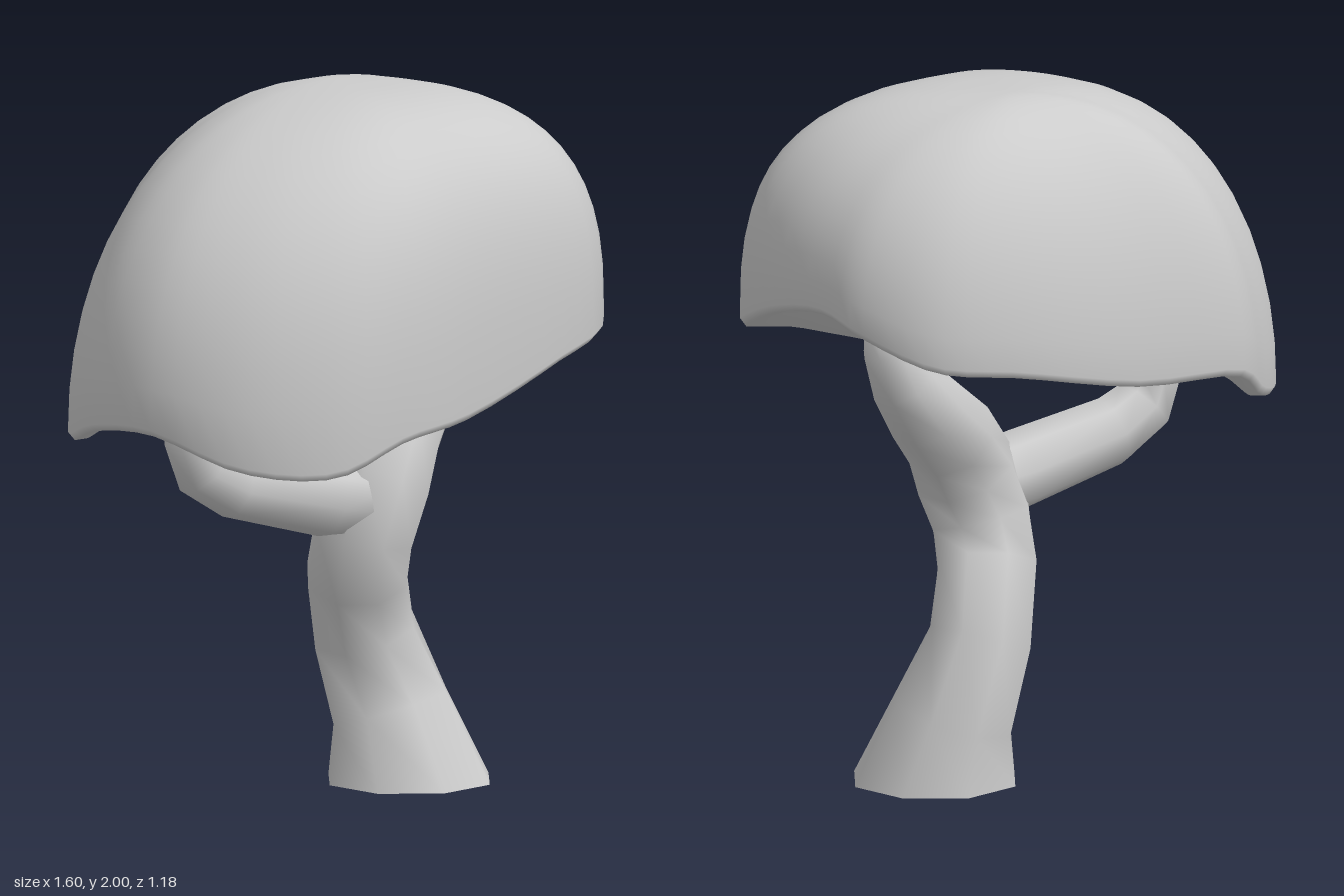
import * as THREE from 'three';
import { mergeVertices } from 'three/addons/utils/BufferGeometryUtils.js';

const V = (x, y, z) => new THREE.Vector3(x, y, z);

// Smooth skin over a list of closed rings (arrays of Vector3 of equal length)
function skin(name, rings) {
  const n = rings[0].length;
  const index = [];
  for (let i = 0; i < rings.length - 1; i++) {
    for (let j = 0; j < n; j++) {
      const k = (j + 1) % n;
      const a = i * n + j, b = i * n + k, c = (i + 1) * n + k, d = (i + 1) * n + j;
      index.push(a, b, d, b, c, d);
    }
  }
  let geometry = new THREE.BufferGeometry().setFromPoints(rings.flat());
  geometry.setIndex(index);
  geometry = mergeVertices(geometry, 1e-4);
  geometry.computeVertexNormals();
  const material = new THREE.MeshStandardMaterial({ color: 0xcccccc, side: THREE.DoubleSide });
  const mesh = new THREE.Mesh(geometry, material);
  mesh.name = name;
  return mesh;
}

// Bent limb: stations are [x, y, z, radius] from base to tip
function limb(name, stations, sides = 8) {
  const points = stations.map(([x, y, z]) => V(x, y, z));
  const up = V(0, 1, 0);
  const rings = stations.map(([, , , r], i) => {
    const prev = points[Math.max(i - 1, 0)];
    const next = points[Math.min(i + 1, points.length - 1)];
    const tangent = i === 0 && name === 'trunk' ? up : next.clone().sub(prev).normalize();
    const turn = new THREE.Quaternion().setFromUnitVectors(up, tangent);
    return Array.from({ length: sides }, (_, j) => {
      const t = ((j + 0.5) / sides) * Math.PI * 2;
      const k = r / Math.cos(Math.PI / sides);
      return V(Math.cos(t) * k, 0, Math.sin(t) * k).applyQuaternion(turn).add(points[i]);
    });
  });
  // closed tip
  rings.push(Array.from({ length: sides }, () => points[points.length - 1].clone()));
  return skin(name, rings.reverse());
}

// Domed canopy with a wavy rim and a hollow underside
function canopy() {
  const rim = new THREE.CatmullRomCurve3([
    V(0.79, 1.46, 0.04), V(0.75, 1.42, 0.27), V(0.64, 1.32, 0.5), V(0.38, 1.26, 0.575),
    V(0, 1.15, 0.585), V(-0.25, 1.12, 0.585), V(-0.48, 1.04, 0.53), V(-0.69, 1.06, 0.36),
    V(-0.795, 1.15, 0.1), V(-0.77, 1.13, -0.14), V(-0.64, 1.06, -0.36), V(-0.45, 1.1, -0.5),
    V(-0.27, 1.2, -0.59), V(0.1, 1.23, -0.555), V(0.5, 1.31, -0.46), V(0.71, 1.34, -0.33),
    V(0.8, 1.42, -0.12),
  ], true);
  const count = 64;
  const edge = Array.from({ length: count }, (_, j) => rim.getPoint(j / count));
  const apex = V(0.17, 2, -0.1);
  const rings = [];

  // dome, from apex down to the rim; the front is boxier than the back
  const steps = 14;
  for (let i = 0; i <= steps; i++) {
    const phi = (1 - i / steps) * Math.PI / 2;
    rings.push(edge.map((p) => {
      const out = p.clone().sub(apex);
      const front = Math.max(0, out.z / Math.hypot(out.x, out.z));
      const e = 2 / (2.15 + 1.2 * front * front);
      const s = i === 0 ? 0 : Math.pow(Math.cos(phi), e);
      const h = i === steps ? 0 : Math.pow(Math.sin(phi), e);
      return V(apex.x + out.x * s, p.y + (apex.y - p.y) * h, apex.z + out.z * s);
    }));
  }

  // rounded lip and hollow underside: [scale, rise, blend to ceiling]
  const under = [[0.98, -0.02, 0], [0.93, -0.018, 0], [0.87, 0.01, 0.12], [0.78, 0, 0.5],
    [0.6, 0, 0.85], [0.3, 0, 1], [0, 0, 1]];
  for (const [s, rise, blend] of under) {
    rings.push(edge.map((p) => {
      const x = apex.x + (p.x - apex.x) * s;
      const ceiling = 1.3 + 0.22 * x;
      return V(x, THREE.MathUtils.lerp(p.y + rise, ceiling, blend), apex.z + (p.z - apex.z) * s);
    }));
  }
  return skin('canopy', rings);
}

export function createModel() {
  const group = new THREE.Group();
  group.name = 'tree';

  group.add(limb('trunk', [
    [0.295, 0, 0.07, 0.225], [0.28, 0.2, 0.01, 0.165], [0.235, 0.42, -0.05, 0.142],
    [0.135, 0.6, 0.02, 0.138], [0.115, 0.73, 0.065, 0.138], [0.16, 0.87, 0.085, 0.14],
    [0.25, 0.99, 0.06, 0.125], [0.4, 1.1, 0.005, 0.11], [0.51, 1.21, -0.01, 0.09],
    [0.55, 1.31, 0, 0.075], [0.565, 1.38, 0.01, 0.055],
  ]));

  group.add(limb('sideBranch', [
    [0.14, 0.82, 0.08, 0.1], [-0.02, 0.845, 0.05, 0.105], [-0.31, 0.915, -0.03, 0.093],
    [-0.42, 0.975, -0.05, 0.085], [-0.46, 1.06, -0.055, 0.075], [-0.46, 1.22, -0.06, 0.065],
  ]));

  group.add(canopy());
  return group;
}
